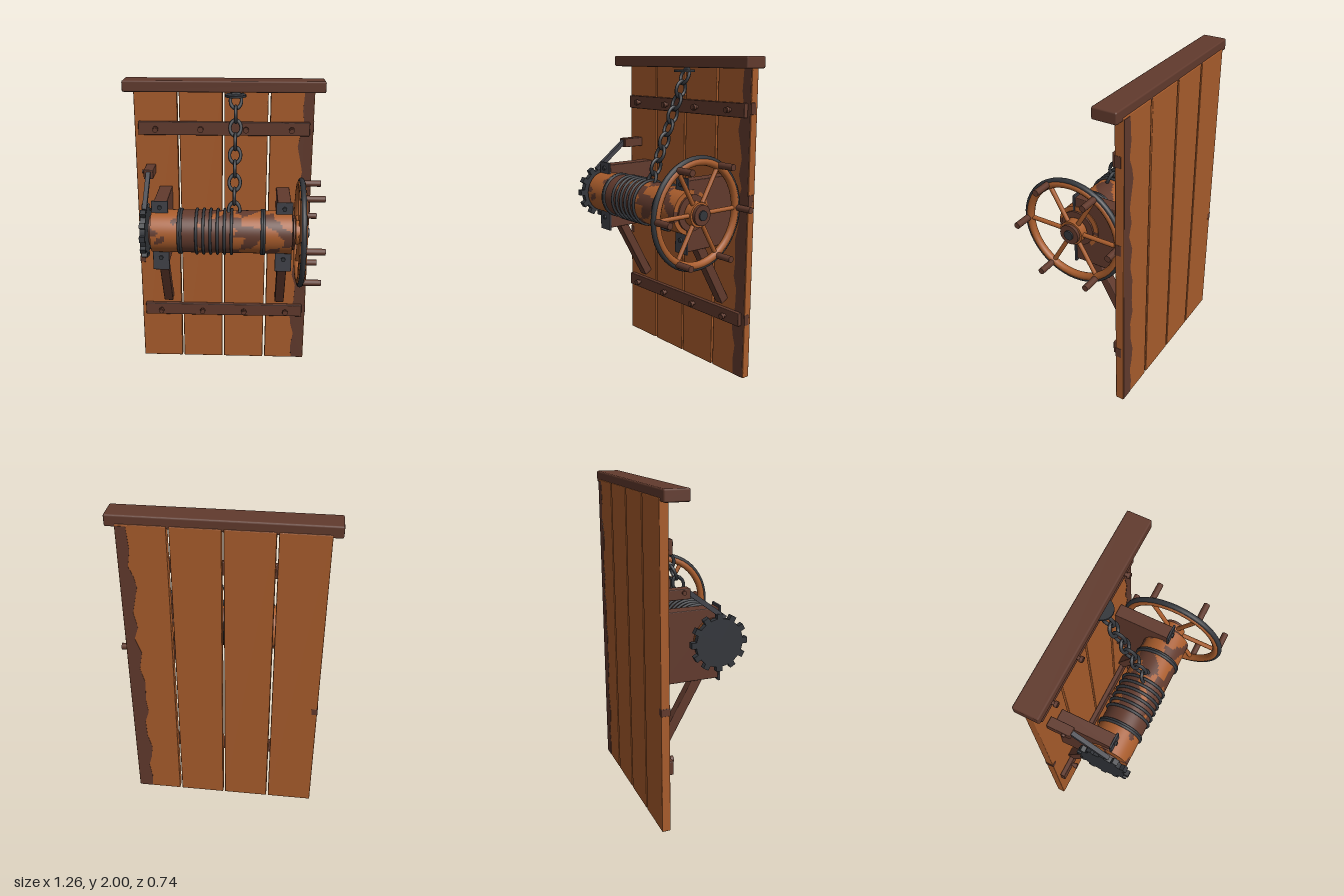
import * as THREE from 'three';
import { RoundedBoxGeometry } from 'three/addons/geometries/RoundedBoxGeometry.js';

const mat = (name, color) => {
  const m = new THREE.MeshStandardMaterial({ color });
  m.name = name;
  return m;
};

export function createModel() {
  const model = new THREE.Group();
  model.name = 'wallWinch';
  const wood = mat('warm wood', 0xa85c2c);
  const dark = mat('dark wood', 0x613a2d);
  const iron = mat('iron', 0x33363b);
  const plateIron = mat('plate iron', 0x414249);

  const AY = 1.105, AZ = 0.025; // axle height and depth

  const add = (name, geo, material, x = 0, y = 0, z = 0, parent = model) => {
    const mesh = new THREE.Mesh(geo, material);
    mesh.name = name;
    mesh.position.set(x, y, z);
    parent.add(mesh);
    return mesh;
  };
  // Box given by its lower and upper corners, with a small bevel
  const box = (name, material, x0, x1, y0, y1, z0, z1, r = 0.005) =>
    add(name, new RoundedBoxGeometry(x1 - x0, y1 - y0, z1 - z0, 1, r), material,
      (x0 + x1) / 2, (y0 + y1) / 2, (z0 + z1) / 2);
  // Cylinder lying along x, between x0 and x1
  const rodX = (name, material, x0, x1, r, y = AY, z = AZ, sides = 24) =>
    add(name, new THREE.CylinderGeometry(r, r, x1 - x0, sides).rotateZ(-Math.PI / 2), material, (x0 + x1) / 2, y, z);
  // Cylinder lying along z
  const rodZ = (name, material, x, y, z0, z1, r, sides = 12) =>
    add(name, new THREE.CylinderGeometry(r, r, z1 - z0, sides).rotateX(Math.PI / 2), material, x, y, (z0 + z1) / 2);
  // Ring around the axle
  const ringX = (name, material, x, R, r) =>
    add(name, new THREE.TorusGeometry(R, r, 10, 48).rotateY(Math.PI / 2), material, x, AY, AZ);

  // Wall planks
  const BACK = -0.365, FRONT = -0.312;
  for (const [x0, x1] of [[-0.58, -0.302], [-0.29, -0.012], [0, 0.28], [0.294, 0.572]])
    box('plank', wood, x0, x1, 0, 1.95, BACK, FRONT);

  // Weathered strip along the outer plank, on front and back
  const edge = [[0.51, 1.94], [0.5, 1.8], [0.515, 1.7], [0.49, 1.64], [0.475, 1.57], [0.49, 1.5], [0.51, 1.4],
    [0.49, 1.3], [0.515, 1.22], [0.48, 1.12], [0.5, 1.0], [0.475, 0.9], [0.48, 0.75], [0.47, 0.66],
    [0.495, 0.58], [0.49, 0.46], [0.465, 0.36], [0.475, 0.27], [0.495, 0.2], [0.48, 0.1], [0.485, 0.005]];
  const strip = new THREE.Shape([[0.567, 0.005], [0.567, 1.94], ...edge].map(p => new THREE.Vector2(...p)));
  for (const z of [BACK - 0.002, FRONT - 0.002])
    add('weatheredStrip', new THREE.ExtrudeGeometry(strip, { depth: 0.004, bevelEnabled: false }), dark, 0, 0, z);
  box('weatheredSpot', dark, -0.582, -0.545, 0.74, 0.785, BACK - 0.001, FRONT + 0.002, 0.002);
  for (const y of [0.39, 1.15, 1.7])
    box('weatheredSpot', dark, 0.55, 0.574, y - 0.035, y + 0.035, -0.35, FRONT + 0.001, 0.002);

  // Header beam and cross battens with bolts
  box('headerBeam', dark, -0.635, 0.63, 1.93, 2, -0.36, -0.21, 0.01);
  for (const y of [0.393, 1.688]) {
    box('batten', dark, -0.553, 0.547, y - 0.043, y + 0.043, FRONT, -0.28);
    for (const x of [-0.44, -0.15, 0.14, 0.43]) {
      rodZ('battenBolt', dark, x, y, -0.29, -0.24, 0.012);
      rodZ('boltHead', dark, x, y, -0.262, -0.243, 0.019);
    }
  }

  // Side supports: block, face plate with bolts, diagonal brace
  for (const s of [-1, 1]) {
    const x = s * 0.387;
    box('supportBlock', dark, x - 0.043, x + 0.043, 0.865, 1.295, FRONT, 0.05);
    box('facePlate', plateIron, x - 0.052, x + 0.052, 0.85, 1.31, 0.046, 0.06, 0.003);
    for (const y of [0.935, 1.27]) rodZ('plateBolt', iron, x, y, 0.05, 0.072, 0.014);
    const a = new THREE.Vector2(-0.06, 0.9), b = new THREE.Vector2(-0.295, 0.482); // (z, y)
    const d = b.clone().sub(a);
    const brace = add('brace', new RoundedBoxGeometry(0.062, d.length(), 0.06, 1, 0.005), dark,
      x, (a.y + b.y) / 2, (a.x + b.x) / 2);
    brace.rotation.x = Math.atan2(d.x, d.y);
  }

  // Drum: one cylinder, its faces sorted into clean and worn wood
  const L = 0.875;
  const drumGeo = new THREE.CylinderGeometry(0.135, 0.135, L, 72, 70).rotateZ(-Math.PI / 2);
  const isWorn = (x, t) => {
    const n = Math.sin(x * 31 + 2.1 * Math.sin(t * 3)) + Math.sin(t * 4 + 1.7 * Math.sin(x * 23 + 1)) +
      0.5 * Math.sin(t * 9 + x * 47);
    const level = x < -0.26 ? -1.5 : x < -0.16 ? 3 : x < 0.07 ? 1.2 : x < 0.26 ? 0.1 : -0.5;
    return n < level;
  };
  const pos = drumGeo.attributes.position, idx = drumGeo.index, faces = [[], []];
  for (let i = 0; i < idx.count; i += 6) {
    const v = [0, 1, 2, 3, 4, 5].map(k => idx.getX(i + k));
    const mean = f => v.reduce((sum, k) => sum + f(k), 0) / 6;
    const t = Math.atan2(mean(k => pos.getZ(k)), mean(k => pos.getY(k)));
    faces[isWorn(mean(k => pos.getX(k)), t) ? 1 : 0].push(...v);
  }
  drumGeo.setIndex([...faces[0], ...faces[1]]);
  drumGeo.clearGroups();
  drumGeo.addGroup(0, faces[0].length, 0);
  drumGeo.addGroup(faces[0].length, faces[1].length, 1);
  add('drum', drumGeo, [wood, dark], -0.0025, AY, AZ);

  // Iron bands and wound coils on the drum
  for (const x of [-0.26, 0.255])
    for (const o of [-0.006, 0.006]) ringX('drumBand', iron, x + o, 0.137, 0.009);
  for (let i = 0; i < 6; i++) ringX('coil', iron, -0.157 + i * 0.0435, 0.14, 0.009);

  // Axle and collars
  rodX('axle', iron, -0.5, 0.54, 0.03);
  rodX('leftCollar', dark, -0.456, -0.446, 0.095);
  rodX('rightCollar', dark, 0.441, 0.453, 0.11);

  // Ratchet wheel with teeth
  rodX('ratchetWheel', iron, -0.502, -0.467, 0.145, AY, AZ, 36);
  for (let i = 0; i < 12; i++) {
    const a = (i / 12) * Math.PI * 2;
    const tooth = add('ratchetTooth', new THREE.BoxGeometry(0.035, 0.045, 0.036), iron,
      -0.4845, AY + Math.cos(a) * 0.15, AZ + Math.sin(a) * 0.15);
    tooth.rotation.x = a;
  }

  // Pawl lever with wooden grip
  const lever = add('pawlLever', new THREE.BoxGeometry(0.028, 0.3, 0.028), plateIron, -0.482, 1.34, -0.06);
  lever.rotation.x = Math.atan2(-0.21, 0.16);
  box('pawlGrip', dark, -0.512, -0.45, 1.385, 1.445, -0.31, -0.16);
  rodX('gripPin', dark, -0.525, -0.5, 0.013, 1.425, -0.2, 10);

  // Hand wheel: rim, tyre, hub, spokes and grips
  const WX = 0.49;
  ringX('wheelRim', wood, WX, 0.308, 0.024);
  ringX('wheelTyre', iron, WX, 0.327, 0.017);
  rodX('wheelHub', wood, 0.46, 0.515, 0.075);
  rodX('hubBoss', dark, 0.505, 0.535, 0.062);
  rodX('hubCap', iron, 0.53, 0.545, 0.03);
  for (let i = 0; i < 6; i++) {
    const a = (i / 6) * Math.PI * 2, c = Math.cos(a), s = Math.sin(a);
    const spoke = add('spoke', new THREE.CylinderGeometry(0.014, 0.014, 0.27, 12), wood,
      WX, AY + s * 0.17, AZ + c * 0.17);
    spoke.rotation.x = Math.PI / 2 - a;
    rodX('wheelGrip', dark, 0.495, 0.618, 0.02, AY + s * 0.315, AZ + c * 0.315, 14);
  }

  // Ceiling plate and hanging chain; every second link is turned a quarter
  add('chainPlate', new THREE.CylinderGeometry(0.066, 0.066, 0.014, 24), iron, 0.073, 1.91, -0.232);
  const linkGeo = new THREE.TorusGeometry(0.035, 0.0105, 8, 24).scale(1, 1.35, 1);
  const chain = new THREE.Group();
  chain.name = 'chain';
  model.add(chain);
  for (let i = 0; i < 9; i++) {
    const link = add('chainLink', linkGeo, iron, 0.075, 1.878 - i * 0.0785, -0.235 + i * 0.033, chain);
    link.rotation.set(-Math.atan2(0.033, 0.0785), i % 2 ? Math.PI / 2 : 0, 0);
  }
  return model;
}
